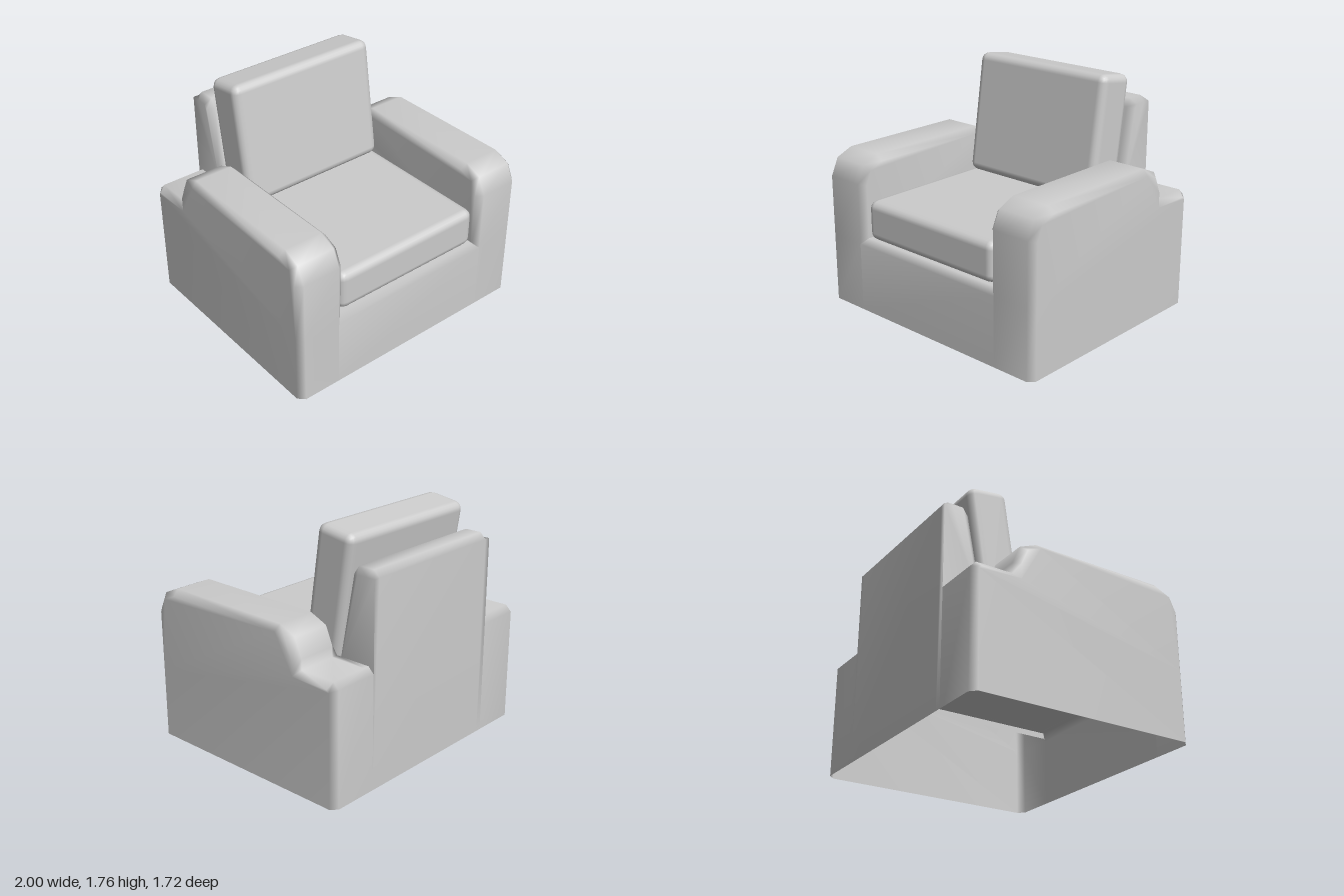
import * as THREE from 'three';
import { mergeVertices } from 'three/addons/utils/BufferGeometryUtils.js';
import { RoundedBoxGeometry } from 'three/addons/geometries/RoundedBoxGeometry.js';

const BEVEL = 0.045;
const material = new THREE.MeshStandardMaterial({ color: 0xcccccc });
const shellMaterial = new THREE.MeshStandardMaterial({ color: 0xcccccc, side: THREE.DoubleSide });

// Shift a [z, y] profile inward by the bevel width, with mitred corners
function inset(path) {
  const normal = (a, b) => new THREE.Vector2(b[1] - a[1], a[0] - b[0]).normalize();
  return path.map((p, i) => {
    const n1 = normal(path[Math.max(i - 1, 0)], path[Math.max(i, 1)]);
    const last = path.length - 1;
    const n2 = normal(path[Math.min(i, last - 1)], path[Math.min(i + 1, last)]);
    const m = n1.clone().add(n2).multiplyScalar(BEVEL / (1 + n1.dot(n2)));
    return [p[0] - m.x, p[1] - m.y];
  });
}

// Skin a grid of [x, y, z] points; rows run front to rear, columns from +x to -x
function skin(out, rows, skip = () => false) {
  for (let i = 0; i < rows.length - 1; i++) {
    for (let j = 0; j < rows[i].length - 1; j++) {
      if (skip(i, j)) continue;
      const a = rows[i][j], b = rows[i + 1][j], c = rows[i + 1][j + 1], d = rows[i][j + 1];
      out.push(...a, ...b, ...d, ...b, ...c, ...d);
    }
  }
}

// Flat side panel at x, facing +x or -x
function panel(out, x, outline, facing) {
  const pts = outline.map(([z, y]) => new THREE.Vector2(z, y));
  for (const t of THREE.ShapeUtils.triangulateShape(pts, [])) {
    const order = facing < 0 ? t : [t[0], t[2], t[1]];
    for (const k of order) out.push(x, outline[k][1], outline[k][0]);
  }
}

function shellMesh(name, positions) {
  let geometry = new THREE.BufferGeometry();
  geometry.setAttribute('position', new THREE.Float32BufferAttribute(positions, 3));
  geometry = mergeVertices(geometry, 1e-4);
  geometry.computeVertexNormals();
  const mesh = new THREE.Mesh(geometry, shellMaterial);
  mesh.name = name;
  return mesh;
}

// Hollow arm with rounded front, stepped down at the rear corner
function makeArm(side) {
  const path = [
    [0.86, 0], [0.86, 0.52], [0.86, 0.98], [0.8, 1.11], [0.67, 1.165],
    [-0.35, 1.165], [-0.48, 1.11], [-0.54, 0.97], [-0.54, 0.895],
    [-0.815, 0.895], [-0.86, 0.85], [-0.86, 0],
  ];
  const step = 8;
  const inner = inset(path);
  const rows = path.map((p, i) => {
    const q = inner[i], r = i >= step ? p : q;
    const row = [
      [side, q[1], q[0]],
      [side * (1 - BEVEL), p[1], p[0]],
      [side * (0.62 + BEVEL), p[1], p[0]],
      [side * 0.62, r[1], r[0]],
    ];
    return side > 0 ? row : row.reverse();
  });
  const out = [];
  // the inner bevel stops at the seat deck
  skin(out, rows, (i, j) => i === 0 && j === (side > 0 ? 2 : 0));
  panel(out, side, inner, side);
  panel(out, side * 0.62, [...inner.slice(1, step), path[step], [-0.54, 0.52]], -side);
  return shellMesh(side > 0 ? 'leftArm' : 'rightArm', out);
}

// Front apron and the deck under the seat cushion
function makeBase() {
  const out = [];
  const profile = [
    [0.86, 0, 0.665], [0.86, 0.52, 0.665], [0.815, 0.565, 0.62], [-0.54, 0.565, 0.62],
  ];
  skin(out, profile.map(([z, y, x]) => [[x, y, z], [-x, y, z]]));
  return shellMesh('seatBase', out);
}

// Sloping backrest, running down to the floor at the rear
function makeBack() {
  const path = [
    [-0.49, 0.565], [-0.54, 0.89], [-0.65, 1.48], [-0.69, 1.54],
    [-0.815, 1.54], [-0.86, 1.495], [-0.86, 0],
  ];
  const inner = inset(path).map((q, i) => (i >= 5 ? path[i] : q));
  const out = [];
  skin(out, path.map((p, i) => [
    [0.62, inner[i][1], inner[i][0]],
    [0.62 - BEVEL, p[1], p[0]],
    [BEVEL - 0.62, p[1], p[0]],
    [-0.62, inner[i][1], inner[i][0]],
  ]));
  for (const side of [1, -1]) {
    panel(out, side * 0.62, [...inner.slice(1, 6), [-0.86, 0.85]], side);
  }
  return shellMesh('backrest', out);
}

function makeCushion(name, w, h, d, y, z, tilt = 0) {
  const mesh = new THREE.Mesh(new RoundedBoxGeometry(w, h, d, 2, 0.06), material);
  mesh.name = name;
  mesh.position.set(0, y, z);
  mesh.rotation.x = tilt;
  return mesh;
}

export function createModel() {
  const group = new THREE.Group();
  group.name = 'armchair';
  group.add(
    makeBase(),
    makeBack(),
    makeArm(1),
    makeArm(-1),
    makeCushion('seatCushion', 1.23, 0.3, 1.32, 0.71, 0.16),
    makeCushion('backCushion', 1.21, 0.92, 0.31, 1.293, -0.432, -0.148),
  );
  return group;
}
